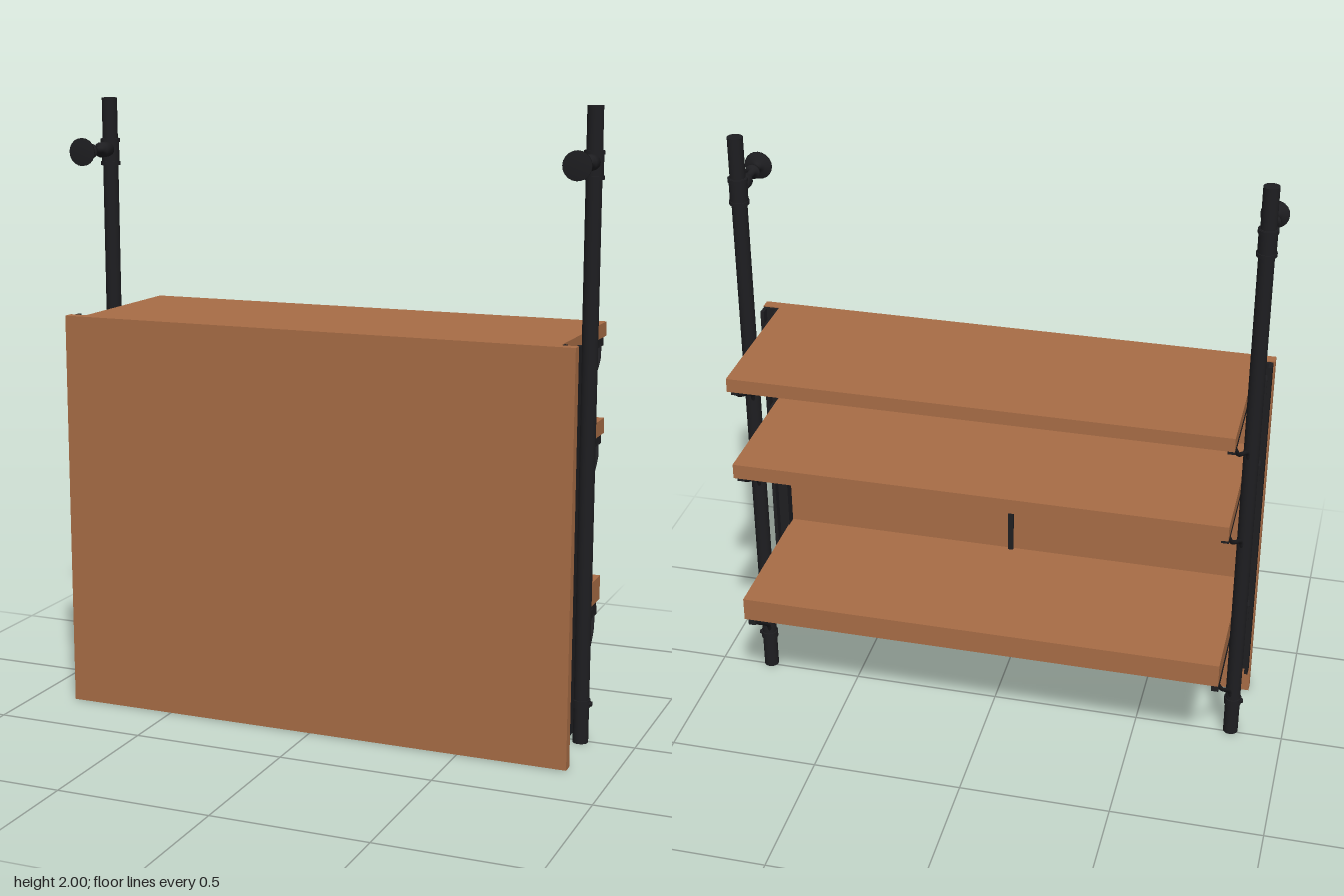
import * as THREE from 'three';

const wood = new THREE.MeshStandardMaterial({ color: 0xa86d46 });
wood.name = 'warm wood';
const metal = new THREE.MeshStandardMaterial({ color: 0x1e1e21 });
metal.name = 'black metal';

function add(parent, name, geometry, material, x = 0, y = 0, z = 0) {
  const mesh = new THREE.Mesh(geometry, material);
  mesh.name = name;
  mesh.position.set(x, y, z);
  parent.add(mesh);
  return mesh;
}

// Box given by its limits on each axis
function box(parent, name, material, [x0, x1], [y0, y1], [z0, z1]) {
  return add(parent, name, new THREE.BoxGeometry(x1 - x0, y1 - y0, z1 - z0), material,
    (x0 + x1) / 2, (y0 + y1) / 2, (z0 + z1) / 2);
}

// Round rod through a few points
function rod(parent, name, points, radius) {
  const curve = new THREE.CatmullRomCurve3(points.map(p => new THREE.Vector3(...p)));
  return add(parent, name, new THREE.TubeGeometry(curve, 16, radius, 8), metal);
}

const POLE_X = 0.825, POLE_Z = 0.01;
const shelves = [
  { name: 'top', y0: 1.262, y1: 1.308, arm: 1.235, foot: 1.09 },
  { name: 'middle', y0: 0.945, y1: 0.995, arm: 0.917, foot: 0.76 },
  { name: 'bottom', y0: 0.39, y1: 0.47, arm: 0.347, foot: 0.16 },
];

// Collar, stub arm and round foot near the top of a pole; the profile runs along z
function wallClamp() {
  const clamp = new THREE.Group();
  clamp.name = 'wallClamp';
  add(clamp, 'clampCollar', new THREE.CylinderGeometry(0.029, 0.029, 0.085, 20), metal, 0, 1.825, 0);
  for (const y of [1.785, 1.86]) {
    add(clamp, 'collarRing', new THREE.CylinderGeometry(0.032, 0.032, 0.012, 20), metal, 0, y, 0);
  }
  const profile = [[0, 0.02], [0.025, 0.02], [0.025, 0.065], [0.011, 0.07], [0.011, 0.125],
    [0.024, 0.128], [0.024, 0.138], [0.011, 0.142], [0.013, 0.17], [0.025, 0.18],
    [0.045, 0.184], [0.045, 0.19], [0, 0.19]];
  const arm = add(clamp, 'clampArm',
    new THREE.LatheGeometry(profile.map(p => new THREE.Vector2(...p)), 20), metal, 0, 1.832, 0);
  arm.rotation.x = Math.PI / 2;
  return clamp;
}

// Everything repeated on the two ends
function endFrame(s) {
  const frame = new THREE.Group();
  frame.name = s > 0 ? 'leftFrame' : 'rightFrame';
  const span = (a, b) => s > 0 ? [a, b] : [-b, -a];

  // Upright pole with its clamp and lower collar
  add(frame, 'pole', new THREE.CylinderGeometry(0.025, 0.025, 2, 24), metal, s * POLE_X, 1, POLE_Z);
  const clamp = wallClamp();
  clamp.position.set(s * POLE_X, 0, POLE_Z);
  frame.add(clamp);
  add(frame, 'lowerCollar', new THREE.CylinderGeometry(0.029, 0.029, 0.025, 20), metal, s * POLE_X, 0.13, POLE_Z);
  const screw = add(frame, 'collarScrew', new THREE.CylinderGeometry(0.008, 0.008, 0.012, 10), metal,
    s * (POLE_X + 0.029), 0.13, POLE_Z);
  screw.rotation.z = Math.PI / 2;

  // Channel behind the front panel
  box(frame, 'channelBack', metal, span(0.797, 0.853), [0.1, 1.305], [0.23, 0.24]);
  box(frame, 'channelInnerFlange', metal, span(0.797, 0.809), [0.1, 1.305], [0.2, 0.23]);
  box(frame, 'channelOuterFlange', metal, span(0.841, 0.853), [0.1, 1.305], [0.2, 0.23]);

  // Shelf arms, channel blocks and diagonal braces
  for (const f of shelves) {
    const top = f.arm + 0.028;
    box(frame, f.name + 'ShelfArm', metal, span(0.775, 0.799), [f.arm, top], [-0.245, 0.205]);
    box(frame, f.name + 'ArmClip', metal, span(0.775, 0.799), [top, f.y0], [-0.235, -0.2]);
    box(frame, f.name + 'ChannelBlock', metal, span(0.78, 0.841), [f.arm - 0.03, f.y0], [0.195, 0.23]);
    rod(frame, f.name + 'Brace', [
      [s * 0.818, f.foot, -0.008], [s * 0.815, f.foot + 0.025, -0.022],
      [s * 0.801, f.arm - 0.03, -0.185], [s * 0.793, f.arm + 0.008, -0.215]], 0.007);
  }
  return frame;
}

export function createModel() {
  const model = new THREE.Group();
  model.name = 'shelfUnit';

  // Front panel and shelves
  box(model, 'frontPanel', wood, [-0.858, 0.855], [0.002, 1.308], [0.24, 0.275]);
  for (const f of shelves) {
    box(model, f.name + 'Shelf', wood, [-0.8, 0.8], [f.y0, f.y1], [-0.275, 0.24]);
  }

  for (const s of [1, -1]) model.add(endFrame(s));

  // Central rail on the back of the panel, with curved supports
  box(model, 'centreRail', metal, [-0.009, 0.009], [0.12, 1.25], [0.228, 0.24]);
  rod(model, 'topCentreBrace', [[0, 1.255, 0.12], [0, 1.222, 0.03], [0, 1.207, -0.09], [0, 1.222, -0.16], [0, 1.255, -0.21]], 0.008);
  rod(model, 'middleCentreBrace', [[0, 0.77, 0.235], [0, 0.81, 0.19], [0, 0.9, 0.08], [0, 0.93, 0.02], [0, 0.942, -0.08]], 0.008);
  rod(model, 'bottomCentreBrace', [[0, 0.39, 0.21], [0, 0.364, 0.14], [0, 0.36, 0.02], [0, 0.385, -0.1]], 0.008);
  return model;
}
